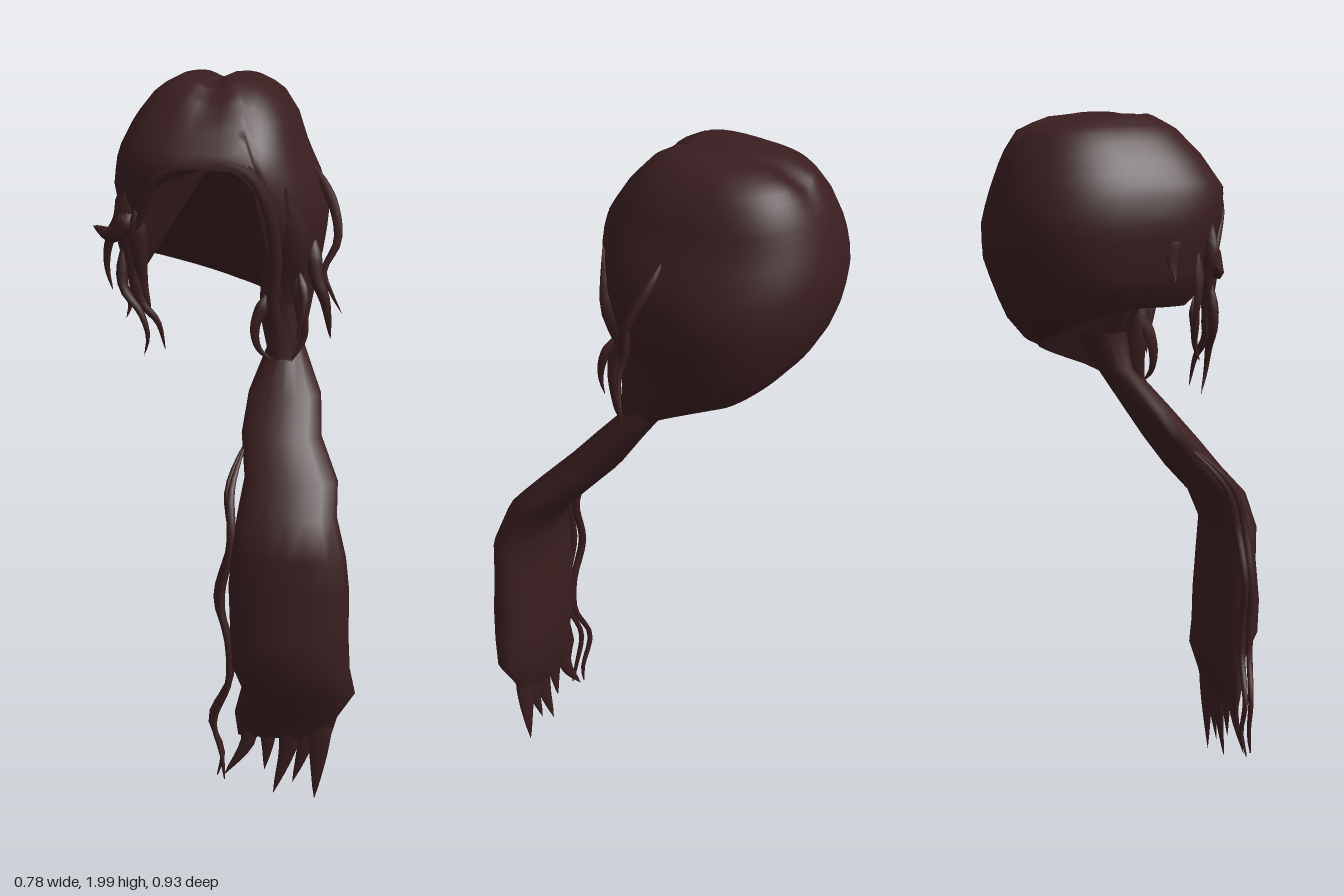
import * as THREE from 'three';

const hair = new THREE.MeshStandardMaterial({ color: 0x3a1e20, side: THREE.DoubleSide });
hair.name = 'dark brown hair';

const V = (p) => new THREE.Vector3(...p);

// Skin a list of closed rings (arrays of Vector3, equal length)
function loft(name, rings) {
  const n = rings[0].length, pos = [], index = [];
  rings.forEach((ring) => ring.forEach((p) => pos.push(p.x, p.y, p.z)));
  for (let i = 0; i < rings.length - 1; i++) {
    for (let j = 0; j < n; j++) {
      const k = (j + 1) % n, a = i * n + j, b = i * n + k, c = a + n, d = b + n;
      index.push(a, c, b, b, c, d);
    }
  }
  const g = new THREE.BufferGeometry();
  g.setAttribute('position', new THREE.Float32BufferAttribute(pos, 3));
  g.setIndex(index);
  g.computeVertexNormals();
  const mesh = new THREE.Mesh(g, hair);
  mesh.name = name;
  return mesh;
}

// Interpolate a table whose first column is the key (ascending or descending)
function sample(table, key) {
  const s = Math.sign(table[1][0] - table[0][0]);
  let i = 0;
  while (i < table.length - 2 && s * (key - table[i + 1][0]) > 0) i++;
  const a = table[i], b = table[i + 1];
  const t = THREE.MathUtils.clamp((key - a[0]) / (b[0] - a[0]), 0, 1);
  return a.map((v, k) => v + (b[k] - v) * t);
}

// Point on a section [y, xMin, xMax, zBack, zFront]; lower power is squarer
function sectionPoint([y, x0, x1, z0, z1], angle, power) {
  const s = Math.sin(angle), c = Math.cos(angle);
  return new THREE.Vector3(
    (x0 + x1) / 2 + ((x1 - x0) / 2) * Math.sign(s) * Math.abs(s) ** power, y,
    (z0 + z1) / 2 + ((z1 - z0) / 2) * Math.sign(c) * Math.abs(c) ** power);
}

// Lock along a smooth path, pointed at both ends; flat squashes it in depth
function strand(name, points, radius, { flat = 1, taper = 0.7, steps = 14 } = {}) {
  const curve = new THREE.CatmullRomCurve3(points.map(V));
  const rings = [];
  const frames = curve.computeFrenetFrames(steps, false);
  for (let i = 0; i <= steps; i++) {
    const t = i / steps;
    const r = radius * Math.min(1, t * 4 + 0.01) * Math.max(1 - t, 0.001) ** taper;
    const c = curve.getPointAt(t);
    rings.push(Array.from({ length: 6 }, (_, j) => {
      const a = (j / 6) * Math.PI * 2;
      const off = frames.normals[i].clone().multiplyScalar(Math.cos(a) * r)
        .addScaledVector(frames.binormals[i], Math.sin(a) * r);
      off.z *= flat;
      return off.add(c);
    }));
  }
  return loft(name, rings);
}

// Scalp cap: sections by height, and the hem height around the head (0 = front, 90 = +x)
const capSections = [
  [2.0, -0.055, -0.055, -0.125, -0.125], [1.99, -0.16, 0.05, -0.26, 0.0],
  [1.95, -0.235, 0.12, -0.365, 0.065], [1.88, -0.29, 0.165, -0.41, 0.13],
  [1.79, -0.335, 0.195, -0.445, 0.19], [1.7, -0.35, 0.235, -0.465, 0.185],
  [1.6, -0.335, 0.255, -0.457, 0.165], [1.5, -0.31, 0.24, -0.42, 0.135],
  [1.42, -0.22, 0.225, -0.375, 0.105], [1.34, -0.05, 0.21, -0.29, 0.09],
  [1.26, 0.08, 0.2, -0.1, 0.07], [1.2, 0.1, 0.19, 0.0, 0.07],
];
const hem = [
  [0, 1.77], [13, 1.765], [20, 1.71], [26, 1.45], [33, 1.25], [55, 1.22], [120, 1.22],
  [150, 1.27], [180, 1.32], [210, 1.365], [240, 1.42], [270, 1.47], [305, 1.47],
  [318, 1.53], [329, 1.67], [337, 1.74], [346, 1.775], [360, 1.77],
];

function buildCap() {
  const rows = 18, cols = 72, rings = [];
  for (let i = 0; i <= rows; i++) {
    const t = i / rows;
    rings.push(Array.from({ length: cols }, (_, j) => {
      const deg = (j / cols) * 360;
      const y = 2 - (2 - sample(hem, deg)[1]) * t ** 1.7;
      const isFront = deg < 90 || deg > 270;
      const p = sectionPoint(sample(capSections, y), THREE.MathUtils.degToRad(deg), isFront ? 0.7 : 0.9);
      // shallow parting groove over the crown
      const depth = THREE.MathUtils.smoothstep(p.y, 1.85, 1.98) * 0.022;
      p.y -= depth * Math.exp(-(((p.x + 0.06) / 0.035) ** 2));
      return p;
    }));
  }
  // underside slopes from the fringe back to the nape
  const hemRing = rings[rows], apex = V([-0.07, 1.75, 0.02]);
  const lining = [0, 0.5, 1].map((t) => hemRing.map((p) => p.clone().lerp(apex, t)));
  return [loft('scalpCap', rings), loft('innerLining', lining)];
}

// Ponytail sections swept forward over the shoulder
const tailSections = [
  [1.36, 0.08, 0.2, -0.14, 0.02], [1.25, 0.1, 0.2, -0.06, 0.05], [1.13, 0.055, 0.26, 0.03, 0.16],
  [1.03, 0.045, 0.27, 0.1, 0.25], [0.93, 0.065, 0.325, 0.19, 0.345],
  [0.85, 0.055, 0.33, 0.265, 0.42], [0.75, 0.045, 0.36, 0.32, 0.45],
  [0.65, 0.035, 0.37, 0.315, 0.445], [0.52, 0.04, 0.37, 0.3, 0.465],
  [0.42, 0.04, 0.375, 0.3, 0.46], [0.34, 0.07, 0.39, 0.305, 0.43],
  [0.26, 0.05, 0.34, 0.325, 0.395], [0.19, 0.06, 0.32, 0.35, 0.37],
];

export function createModel() {
  const group = new THREE.Group();
  group.name = 'sidePonytailHair';
  group.add(...buildCap());

  group.add(loft('ponytail', tailSections.map((s) =>
    Array.from({ length: 16 }, (_, j) => sectionPoint(s, (j / 16) * Math.PI * 2, 1)))));

  // Jagged ends: [base x, tip x, tip y, half width]
  [[0.085, 0.018, 0.06, 0.042], [0.14, 0.135, 0.085, 0.045], [0.2, 0.16, 0.012, 0.05],
    [0.245, 0.215, 0.05, 0.045], [0.285, 0.278, 0.003, 0.055]].forEach(([bx, tx, ty, w]) => {
    group.add(strand('ponytailTip', [[bx, 0.3, 0.36], [bx + 0.005, 0.18, 0.36], [tx, ty, 0.36]],
      w, { flat: 0.4, taper: 0.85, steps: 8 }));
  });

  // Loose wavy strands beside the ponytail
  [0, 1].forEach((k) => {
    const d = k * 0.012, z = k * 0.025;
    group.add(strand('looseTailStrand', [
      [0.07, 1.04, 0.17], [0.022 + d, 0.9, 0.29 + z], [0.04, 0.77, 0.34 + z], [0 + d, 0.6, 0.35 + z],
      [0.036, 0.47, 0.36 + z], [0.036, 0.36, 0.36 + z], [-0.02 + d, 0.23, 0.345 + z],
      [0.015, 0.13, 0.35 + z], [0.0 + 2 * d, 0.06, 0.36 + z]], 0.014, { taper: 0.3, steps: 32 }));
  });

  // Rolled fringe edge framing the face
  group.add(strand('fringeEdge', [
    [-0.28, 1.48, 0.09], [-0.245, 1.62, 0.13], [-0.19, 1.745, 0.16], [-0.06, 1.785, 0.17],
    [0.05, 1.77, 0.165], [0.105, 1.68, 0.15], [0.13, 1.52, 0.115], [0.12, 1.4, 0.085],
    [0.14, 1.24, 0.05]], 0.02, { taper: 0.05, steps: 30 }));

  // Hair drawn down from the fringe into the tie
  group.add(strand('frontSweep', [
    [0.16, 1.72, 0.13], [0.165, 1.55, 0.085], [0.13, 1.38, 0.05], [0.15, 1.2, 0.06], [0.15, 1.1, 0.09]],
    0.065, { flat: 0.6, taper: 0.3 }));

  // Locks and wisps on the -x side
  const rightLocks = [
    [0.05, [[-0.28, 1.72, 0.1], [-0.285, 1.55, 0.09], [-0.27, 1.45, 0.09], [-0.28, 1.37, 0.09]], 0.5],
    [0.035, [[-0.26, 1.66, 0.12], [-0.25, 1.5, 0.11], [-0.24, 1.42, 0.1], [-0.22, 1.36, 0.11]], 0.6],
    [0.02, [[-0.3, 1.56, 0.09], [-0.3, 1.42, 0.1], [-0.25, 1.35, 0.11], [-0.23, 1.28, 0.11], [-0.245, 1.22, 0.09]], 1],
    [0.02, [[-0.27, 1.5, 0.1], [-0.25, 1.38, 0.1], [-0.205, 1.32, 0.09], [-0.185, 1.235, 0.08]], 1],
    [0.02, [[-0.31, 1.62, 0.05], [-0.355, 1.52, 0.03], [-0.36, 1.45, 0.02], [-0.345, 1.39, 0.02]], 1],
    [0.045, [[-0.26, 1.64, 0.1], [-0.325, 1.57, 0.1], [-0.39, 1.585, 0.067]], 0.7],
    [0.03, [[-0.31, 1.68, -0.02], [-0.34, 1.59, -0.04], [-0.372, 1.55, -0.045]], 1],
    [0.02, [[-0.3, 1.5, 0.04], [-0.31, 1.42, 0.04], [-0.29, 1.36, 0.05], [-0.3, 1.32, 0.06]], 1],
  ];
  // Locks and wisps on the +x side
  const leftLocks = [
    [0.02, [[0.19, 1.77, -0.1], [0.235, 1.71, -0.09], [0.28, 1.62, -0.055], [0.29, 1.54, -0.025],
      [0.255, 1.46, 0], [0.275, 1.4, 0], [0.305, 1.33, -0.03]], 1],
    [0.03, [[0.22, 1.58, 0.0], [0.235, 1.45, 0.02], [0.26, 1.38, 0.02], [0.275, 1.26, -0.01]], 1],
    [0.03, [[0.18, 1.5, 0.06], [0.2, 1.36, 0.07], [0.205, 1.28, 0.06], [0.17, 1.21, 0.08]], 1],
    [0.025, [[0.11, 1.42, 0.06], [0.07, 1.31, 0.08], [0.08, 1.25, 0.08], [0.12, 1.21, 0.07]], 1],
    [0.018, [[0.19, 1.48, 0.07], [0.21, 1.4, 0.1], [0.2, 1.33, 0.115], [0.19, 1.28, 0.11]], 1],
  ];
  rightLocks.forEach(([r, pts, flat]) => group.add(strand('rightSideLock', pts, r, { flat })));
  leftLocks.forEach(([r, pts, flat]) => group.add(strand('leftSideLock', pts, r, { flat, steps: 18 })));

  return group;
}
